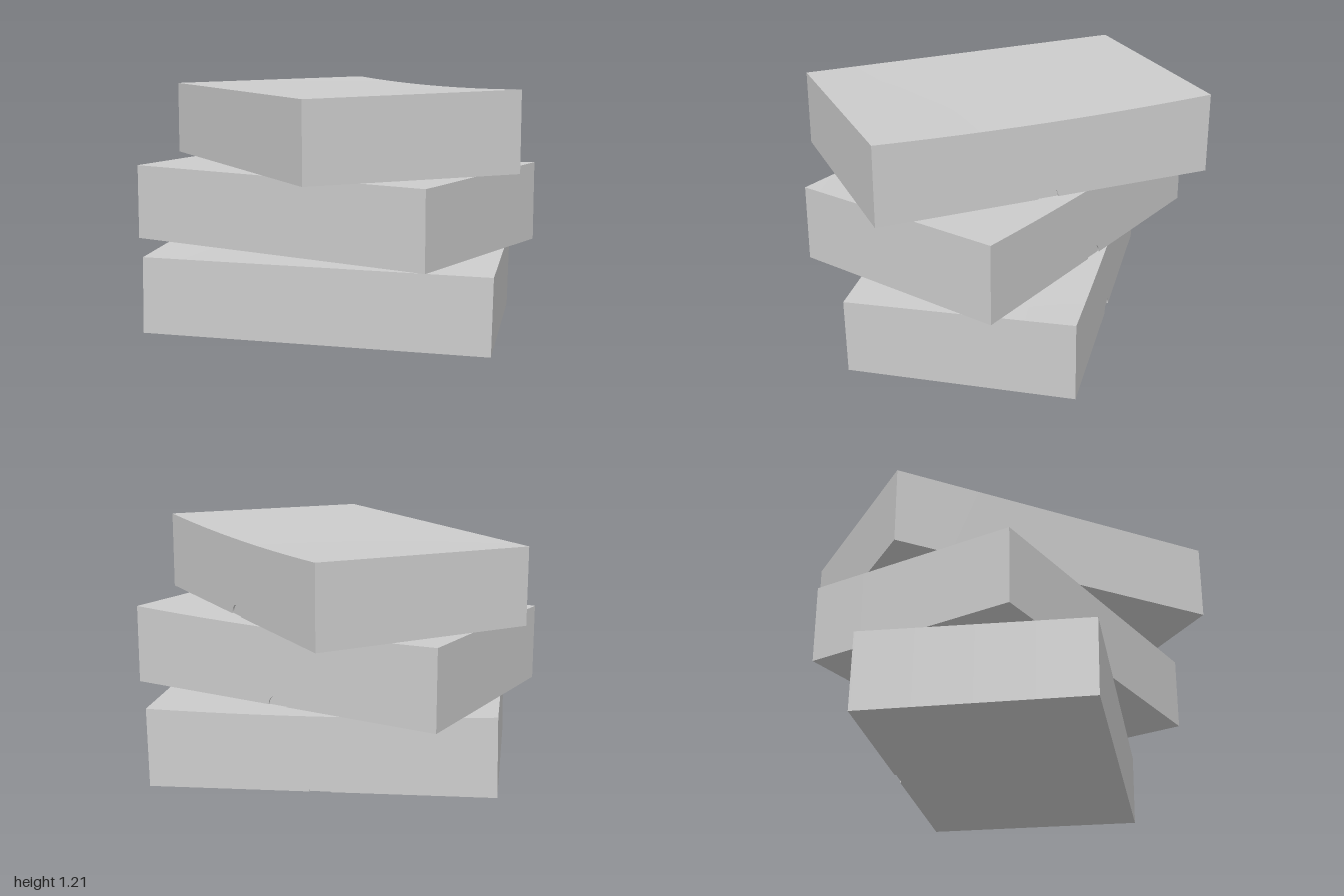
import * as THREE from 'three';

const W = 1.665, D = 1.095, WALL = 0.008;

// Lid height: front edge is level, back edge rises at the corners and sags mid-way
const backHeight = (x) => 0.371 + 0.017 * Math.pow((2 * x) / W, 2);
const FRONT_HEIGHT = 0.371;

// Carton body, standing on y = 0, with its top surface bent to the sagging back edge
function bodyGeometry() {
  const depth = D - WALL;
  const geo = new THREE.BoxGeometry(W, 1, depth, 12, 1, 4);
  geo.translate(0, 0.5, WALL / 2);
  const p = geo.attributes.position;
  for (let i = 0; i < p.count; i++) {
    if (p.getY(i) < 0.5) continue;
    const t = (D / 2 - p.getZ(i)) / depth;
    p.setY(i, THREE.MathUtils.lerp(FRONT_HEIGHT, backHeight(p.getX(i)), t));
  }
  geo.computeVertexNormals();
  return geo;
}

// Thin back flap with a half-round thumb notch in its lower edge
function flapGeometry() {
  const r = 0.05, n = 12;
  const shape = new THREE.Shape();
  shape.moveTo(-W / 2, 0);
  shape.lineTo(-r, 0);
  shape.absarc(0, 0, r, Math.PI, 0, true);
  shape.lineTo(W / 2, 0);
  for (let i = 0; i <= n; i++) {
    const x = W / 2 - (W * i) / n;
    shape.lineTo(x, backHeight(x));
  }
  shape.closePath();
  const geo = new THREE.ExtrudeGeometry(shape, { depth: WALL, bevelEnabled: false, curveSegments: 16 });
  geo.translate(0, 0, -D / 2);
  return geo;
}

export function createModel() {
  const model = new THREE.Group();
  model.name = 'boxStack';
  const card = new THREE.MeshStandardMaterial({ color: 0xcccccc });
  card.name = 'light grey card';
  const body = bodyGeometry();
  const flap = flapGeometry();

  // Name, base height, turn about y, slight tilts about x and z
  const boxes = [
    ['bottomBox', 0.022, -0.024, 0.01, -0.02],
    ['middleBox', 0.431, -0.414, 0, 0],
    ['topBox', 0.82, -0.956, 0, 0],
  ];
  for (const [name, y, turn, tiltX, tiltZ] of boxes) {
    const box = new THREE.Group();
    box.name = name;
    const bodyMesh = new THREE.Mesh(body, card);
    bodyMesh.name = 'cartonBody';
    const flapMesh = new THREE.Mesh(flap, card);
    flapMesh.name = 'notchedBackFlap';
    box.add(bodyMesh, flapMesh);
    box.position.y = y;
    box.rotation.set(tiltX, turn, tiltZ, 'YXZ');
    model.add(box);
  }
  return model;
}
